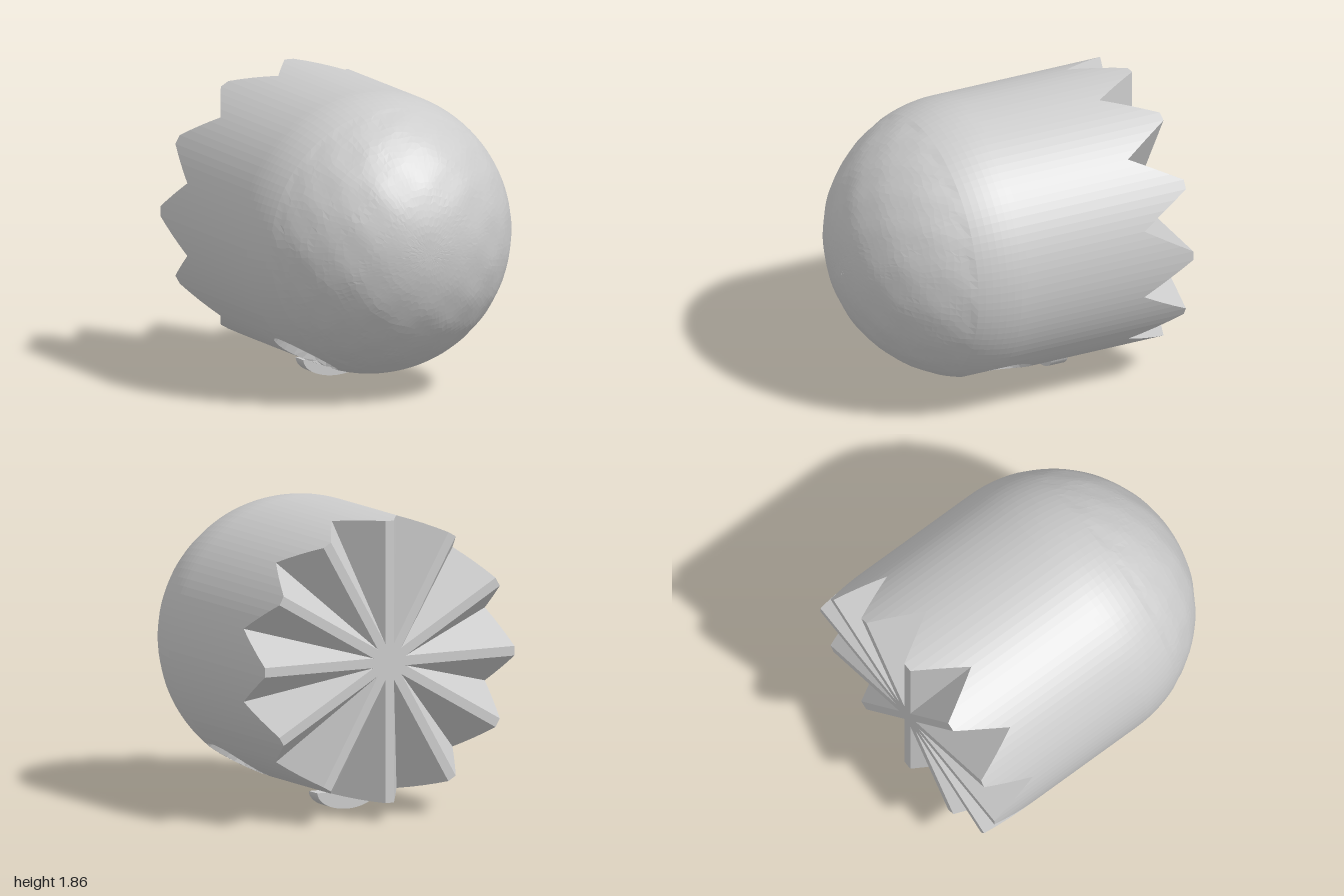
import * as THREE from 'three';

const R = 0.875, CY = 0.985, NOSE = 0.125;   // body radius, axis height, start of the dome
const STRIP = 0.03, SECTORS = 12, DEPTH = 0.32;
const HOLE = 0.22, HOLE_ANGLES = [Math.PI * 5 / 6, Math.PI * 7 / 6];

let seed = 7;
const rand = () => {
  seed = (seed * 16807) % 2147483647;
  return seed / 2147483647 - 0.5;
};

// Angles around the axis: each sector is a flat strip edge pair and a V groove
const SEG = 9, sector = Math.PI * 2 / SECTORS, edge = Math.asin(STRIP / R);
const angles = [];
for (let s = 0; s < SECTORS; s++) {
  for (let j = 0; j < SEG; j++) {
    angles.push(s * sector + edge + (sector - 2 * edge) * j / (SEG - 1));
  }
}
const N = angles.length;

// Back edge of the shell, cut into points by the grooves
const slope = DEPTH / (R * Math.sin(sector / 2) - STRIP);
function backZ(a) {
  const off = a - Math.round(a / sector) * sector;
  return -1 + slope * Math.max(0, R * Math.sin(Math.abs(off)) - STRIP);
}

// Press the two round sockets into the underside, with a clean circular rim
function pressSockets(p) {
  for (const a of HOLE_ANGLES) {
    const s = Math.sin(a), c = Math.cos(a);
    const radial = p.x * s + p.y * c;
    const side = p.x * c - p.y * s, along = p.z - NOSE;
    const l = Math.hypot(side, along);
    if (radial < 0 || l > HOLE + 0.035) continue;
    const t = l > HOLE - 0.035 ? 1 : l / (HOLE - 0.035);
    const lat = HOLE * Math.sin(t * Math.PI / 2) / (l || 1);
    const u = side * lat, v = along * lat;
    const surf = Math.sqrt(R * R - u * u - Math.max(0, v) ** 2);
    const floor = 0.848 - HOLE * Math.cos(t * Math.PI / 2);
    const r = floor + (surf - 0.848) * t * t;
    p.set(s * r + c * u, c * r - s * u, NOSE + v);
  }
  return p;
}

function toGeometry(positions, index) {
  const g = new THREE.BufferGeometry();
  g.setAttribute('position', new THREE.Float32BufferAttribute(positions, 3));
  g.setIndex(index);
  const flat = g.toNonIndexed();
  flat.computeVertexNormals();
  return flat;
}

// Cylinder plus dome, with slightly uneven facets on the dome
function shellGeometry() {
  const CYL = 24, DOME = 30, pos = [], idx = [], p = new THREE.Vector3();
  for (let i = 0; i <= CYL + DOME; i++) {
    for (const a0 of angles) {
      let a = a0;
      if (i <= CYL) {
        const z = THREE.MathUtils.lerp(backZ(a), NOSE, i / CYL);
        p.set(R * Math.sin(a), R * Math.cos(a), z);
      } else {
        let th = (i - CYL) / DOME * Math.PI / 2;
        if (th > 0.4 && i < CYL + DOME) {
          th += rand() * 0.028;
          a += rand() * 0.03;
        }
        p.set(Math.cos(th) * Math.sin(a), Math.cos(th) * Math.cos(a), Math.sin(th));
        const bump = Math.sin(p.x * 17 + p.z * 5) * Math.sin(p.y * 15 + 1) * Math.sin(p.z * 13);
        p.multiplyScalar(R + (th > 0.4 ? (bump - 0.6) * 0.004 : 0));
        p.z += NOSE;
      }
      pressSockets(p);
      pos.push(p.x, p.y + CY, p.z);
    }
  }
  for (let i = 0; i < CYL + DOME; i++) {
    for (let j = 0; j < N; j++) {
      const a = i * N + j, b = i * N + (j + 1) % N;
      idx.push(a, a + N, b, b, a + N, b + N);
    }
  }
  return toGeometry(pos, idx);
}

// Back face: narrow strips meeting in a hub, with a V groove between each pair
function backGeometry() {
  const pos = [0, CY, -1], idx = [];
  const hub = STRIP / Math.sin(sector / 2);
  for (let s = 0; s < SECTORS; s++) {
    const a = (s + 0.5) * sector;
    pos.push(hub * Math.sin(a), CY + hub * Math.cos(a), -1);
  }
  for (const a of angles) pos.push(R * Math.sin(a), CY + R * Math.cos(a), backZ(a));
  const rim = (j) => 1 + SECTORS + j % N;
  for (let s = 0; s < SECTORS; s++) {
    const h = 1 + s, next = 1 + (s + 1) % SECTORS;
    for (let j = 0; j < SEG - 1; j++) idx.push(h, rim(s * SEG + j), rim(s * SEG + j + 1));
    const l = rim(s * SEG + SEG - 1), r = rim((s + 1) * SEG);
    idx.push(h, l, r, h, r, next, 0, h, next);
  }
  return toGeometry(pos, idx);
}

export function createModel() {
  seed = 7;
  const group = new THREE.Group();
  const faceted = new THREE.MeshStandardMaterial({ color: 0xcccccc, flatShading: true });
  const smooth = new THREE.MeshStandardMaterial({ color: 0xcccccc });
  const add = (name, geometry, material) => {
    const mesh = new THREE.Mesh(geometry, material);
    mesh.name = name;
    group.add(mesh);
    return mesh;
  };

  add('domedShell', shellGeometry(), faceted);
  add('groovedBack', backGeometry(), faceted);

  // Half-round tab under the body
  const half = new THREE.Shape();
  half.absellipse(0, 0, 0.21, 0.11, Math.PI, Math.PI * 2, false);
  half.closePath();
  const tab = new THREE.ExtrudeGeometry(half, { depth: 0.11, bevelEnabled: false, curveSegments: 32 });
  add('bottomTab', tab, smooth).position.set(0, 0.11, -0.47);

  return group;
}
